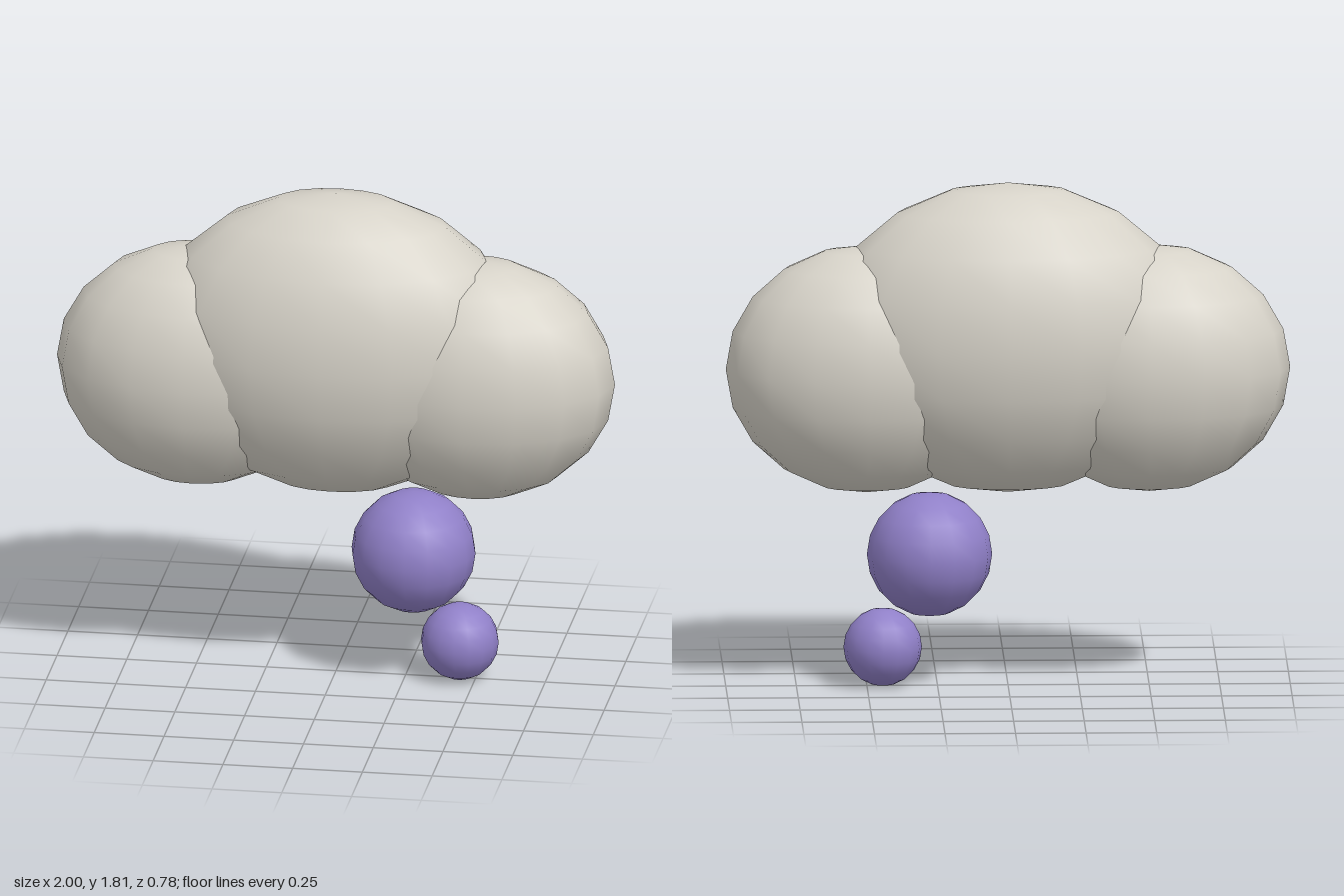
import * as THREE from 'three';

export function createModel() {
  const group = new THREE.Group();
  const cloudGrey = new THREE.MeshStandardMaterial({ color: 0xd6d2c8 });
  const bubblePurple = new THREE.MeshStandardMaterial({ color: 0x9080c8 });
  const ball = new THREE.SphereGeometry(1, 16, 10);

  // Adds one smooth ellipsoid
  function puff(name, material, [x, y], [rx, ry, rz]) {
    const mesh = new THREE.Mesh(ball, material);
    mesh.name = name;
    mesh.position.set(x, y, 0);
    mesh.scale.set(rx, ry, rz);
    group.add(mesh);
  }

  // Cloud: a large middle puff and a smaller one on each side
  puff('middlePuff', cloudGrey, [0, 1.25], [0.667, 0.556, 0.389]);
  for (const [name, side] of [['leftPuff', 1], ['rightPuff', -1]]) {
    puff(name, cloudGrey, [side * 0.5, 1.139], [0.5, 0.444, 0.333]);
  }

  // Trailing bubbles below the cloud
  puff('largeBubble', bubblePurple, [0.278, 0.472], [0.222, 0.222, 0.222]);
  puff('smallBubble', bubblePurple, [0.444, 0.139], [0.139, 0.139, 0.139]);

  return group;
}
